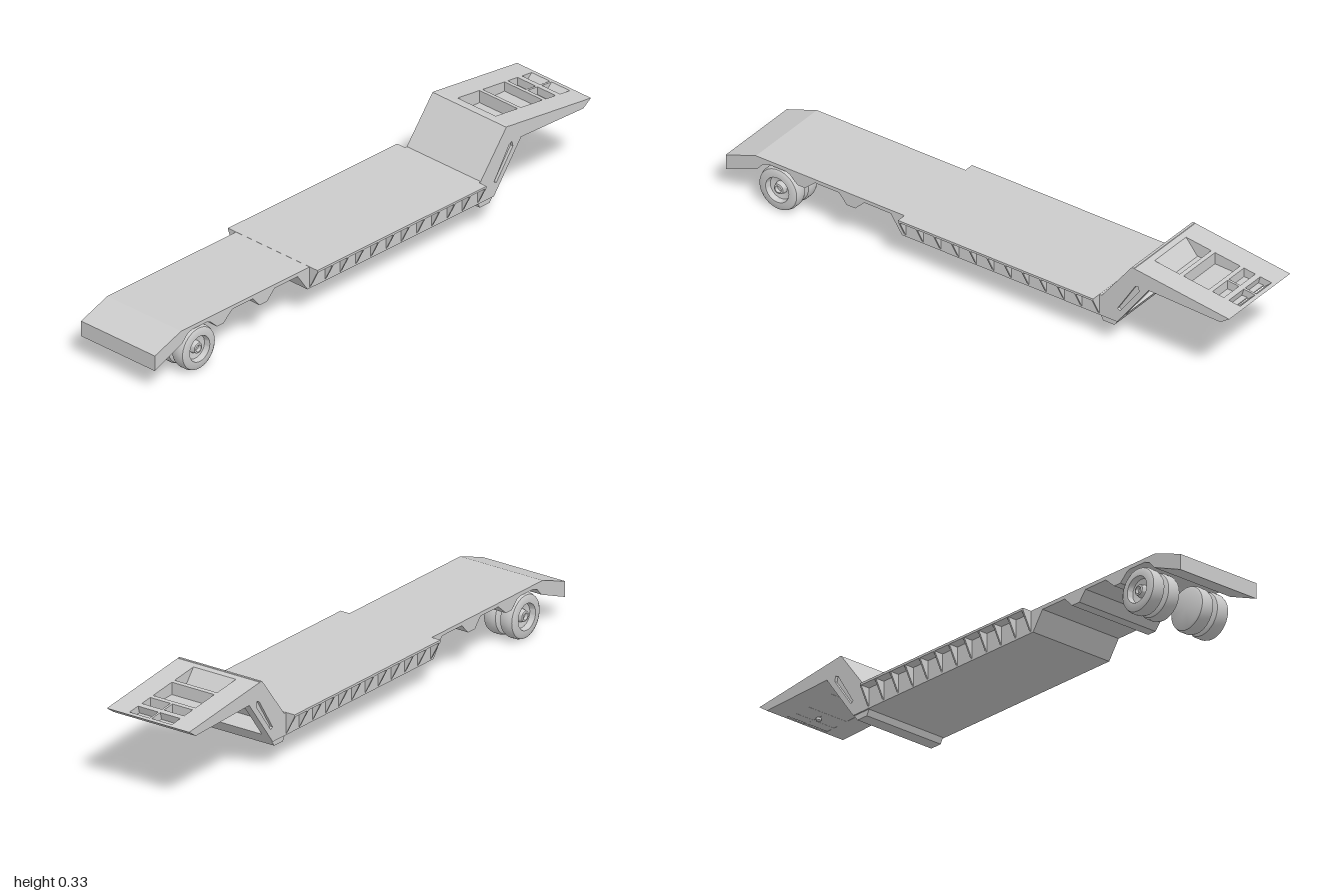
import * as THREE from 'three';
import { toCreasedNormals } from 'three/addons/utils/BufferGeometryUtils.js';

const material = new THREE.MeshStandardMaterial({ color: 0xcccccc, side: THREE.DoubleSide });
const toPoints = (list) => list.map(([a, b]) => new THREE.Vector2(a, b));

function add(parent, name, geometry) {
  const mesh = new THREE.Mesh(geometry, material);
  mesh.name = name;
  parent.add(mesh);
  return mesh;
}

// Side profile given as [z, y], extruded across x0..x1
function sideExtrude(profile, x0, x1, holes = []) {
  const shape = new THREE.Shape(toPoints(profile));
  for (const h of holes) shape.holes.push(new THREE.Path(toPoints(h)));
  return new THREE.ExtrudeGeometry(shape, { depth: x1 - x0, bevelEnabled: false })
    .rotateY(-Math.PI / 2).translate(x1, 0, 0);
}

const rect = (x0, x1, z0, z1) => toPoints([[x0, -z0], [x1, -z0], [x1, -z1], [x0, -z1]]);

// Sloping coupling plate with open pockets
function couplingPlate(W) {
  const shape = new THREE.Shape(rect(-W, W, -0.62, -1));
  const pockets = [[-0.085, 0.085, -0.645, -0.745], [-0.085, 0.085, -0.76, -0.86]];
  for (const [z0, z1] of [[-0.875, -0.92], [-0.94, -0.985]]) {
    pockets.push([-0.085, -0.004, z0, z1], [0.004, 0.085, z0, z1]);
  }
  for (const p of pockets) shape.holes.push(new THREE.Path(rect(...p)));
  const geometry = new THREE.ExtrudeGeometry(shape, { depth: 1, bevelEnabled: false }).rotateX(-Math.PI / 2);
  // Taper: top follows the slope, underside is flat and shortened at both ends
  const pos = geometry.attributes.position;
  for (let i = 0; i < pos.count; i++) {
    const z = pos.getZ(i);
    if (pos.getY(i) > 0.5) {
      pos.setY(i, 0.33 + (z + 0.62) * 0.125);
    } else {
      const zb = z < -0.92 ? -0.92 + (z + 0.92) * 0.56 : z - 0.48 * Math.max(0, z + 0.745);
      pos.setZ(i, zb);
      pos.setY(i, 0.268 + (zb + 0.68) * 0.035);
    }
  }
  geometry.computeVertexNormals();
  return geometry;
}

function tyre(dished) {
  const outerFace = dished
    ? [[0.046, 0.028], [0.042, 0.008], [0.022, 0.004], [0.018, 0.021], [0.012, 0.023], [0.010, 0.012], [0, 0.012]]
    : [[0, 0.028]];
  const profile = [[0, -0.028], [0.066, -0.028], [0.074, -0.023], [0.078, -0.012],
    [0.078, 0.012], [0.074, 0.023], [0.066, 0.028], ...outerFace];
  const geometry = new THREE.LatheGeometry(toPoints(profile), 40).rotateZ(-Math.PI / 2);
  return toCreasedNormals(geometry, 0.6);
}

export function createModel() {
  const model = new THREE.Group();
  model.name = 'lowLoaderTrailer';
  const W = 0.165;

  // Main bed with wheel arch, underside ribs and sloped tail
  add(model, 'bed', sideExtrude([
    [-0.49, 0.1], [0.3, 0.1], [0.345, 0.165], [0.45, 0.165], [0.485, 0.13], [0.52, 0.13],
    [0.55, 0.165], [0.645, 0.165], [0.685, 0.13], [0.715, 0.13], [0.745, 0.158], [0.76, 0.164],
    [0.83, 0.164], [0.85, 0.157], [0.875, 0.13], [1, 0.08], [1, 0.135], [0.88, 0.178], [-0.49, 0.178],
  ], -W, W));

  // Wide deck and its triangular side brackets
  add(model, 'deck', new THREE.BoxGeometry(0.4, 0.008, 0.775)).position.set(0, 0.1745, -0.0975);
  const brackets = new THREE.Group();
  brackets.name = 'sideBrackets';
  model.add(brackets);
  for (const s of [-1, 1]) {
    const web = new THREE.ExtrudeGeometry(
      new THREE.Shape(toPoints([[s * 0.163, 0.172], [s * 0.2, 0.172], [s * 0.163, 0.1]])),
      { depth: 0.006, bevelEnabled: false });
    for (let i = 0; i < 12; i++) add(brackets, 'sideBracket', web).position.z = 0.284 - i * 0.0699;
  }

  // Gooseneck: slotted outer cheeks, solid inner cheeks, and a centre recessed underneath
  const neck = [[-0.485, 0.1], [-0.555, 0.1], [-0.68, 0.268], [-0.622, 0.331], [-0.612, 0.33], [-0.494, 0.178], [-0.485, 0.178]];
  const slot = [[-0.556, 0.152], [-0.566, 0.146], [-0.642, 0.25], [-0.638, 0.268], [-0.626, 0.262]];
  for (const s of [-1, 1]) {
    const span = (a, b) => (s > 0 ? [a, b] : [-b, -a]);
    add(model, 'neckOuterCheek', sideExtrude(neck, ...span(0.155, W), [slot]));
    add(model, 'neckInnerCheek', sideExtrude(neck, ...span(0.135, 0.155)));
  }
  add(model, 'neckCentre', sideExtrude([
    [-0.485, 0.1], [-0.555, 0.1], [-0.574, 0.125], [-0.534, 0.155], [-0.621, 0.273], [-0.661, 0.243],
    ...neck.slice(2),
  ], -0.135, 0.135));
  add(model, 'neckFoot', sideExtrude([[-0.485, 0.1], [-0.495, 0.08], [-0.54, 0.08], [-0.555, 0.1]], -0.16, 0.16));

  // Coupling head with pocket floor and pin
  add(model, 'couplingPlate', couplingPlate(W));
  add(model, 'pocketFloor', new THREE.BoxGeometry(0.18, 0.004, 0.262).rotateX(-0.035))
    .position.set(0, 0.2655, -0.822);
  add(model, 'kingpin', new THREE.CylinderGeometry(0.009, 0.009, 0.01, 20)).position.set(0, 0.257, -0.9);

  // Dual wheels on each side
  const outerTyre = tyre(true), innerTyre = tyre(false);
  for (const s of [-1, 1]) {
    const wheels = new THREE.Group();
    wheels.name = s > 0 ? 'leftWheels' : 'rightWheels';
    wheels.position.set(0, 0.08, 0.795);
    if (s < 0) wheels.rotation.y = Math.PI;
    add(wheels, 'outerTyre', outerTyre).position.x = 0.138;
    add(wheels, 'innerTyre', innerTyre).position.x = 0.073;
    add(wheels, 'wheelHub', new THREE.CylinderGeometry(0.037, 0.037, 0.03, 32).rotateZ(Math.PI / 2)).position.x = 0.105;
    model.add(wheels);
  }
  return model;
}
